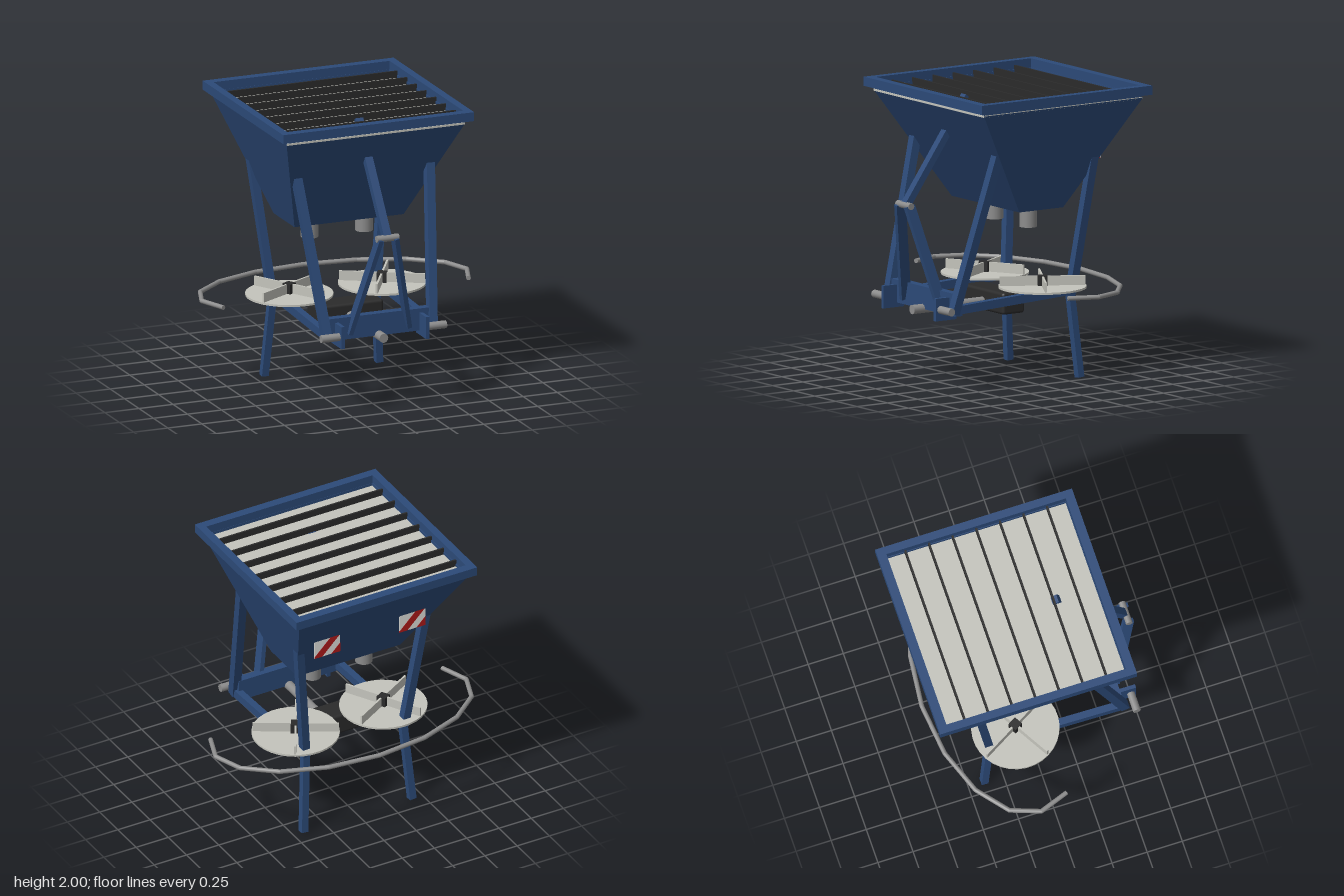
import * as THREE from 'three';
import { RoundedBoxGeometry } from 'three/addons/geometries/RoundedBoxGeometry.js';

const mat = (name, color) => {
  const m = new THREE.MeshStandardMaterial({ color });
  m.name = name;
  return m;
};

export function createModel() {
  const blue = mat('blue paint', 0x2c4a78);
  const light = mat('light metal', 0xc4c4bc);
  const steel = mat('grey steel', 0x8c8c8c);
  const dark = mat('dark metal', 0x2b2b2b);
  const white = mat('white', 0xe4e4e0);
  const red = mat('red', 0xb01a1a);
  const model = new THREE.Group();

  const add = (name, geometry, material, x = 0, y = 0, z = 0, parent = model) => {
    const mesh = new THREE.Mesh(geometry, material);
    mesh.name = name;
    mesh.position.set(x, y, z);
    parent.add(mesh);
    return mesh;
  };
  const box = (name, material, w, h, d, x, y, z, parent) =>
    add(name, new THREE.BoxGeometry(w, h, d), material, x, y, z, parent);

  // Straight bar between two points; w runs sideways, d across it
  const bar = (name, material, a, b, w, d, round = false) => {
    const from = new THREE.Vector3(...a), to = new THREE.Vector3(...b);
    const length = from.distanceTo(to), dir = to.clone().sub(from);
    const geometry = round
      ? new THREE.CylinderGeometry(w, w, length, 16).rotateX(Math.PI / 2)
      : new THREE.BoxGeometry(w, d, length);
    const mid = from.clone().lerp(to, 0.5);
    const mesh = add(name, geometry, material, mid.x, mid.y, mid.z);
    if (Math.abs(dir.y) > length * 0.6) mesh.up.set(0, 0, 1);
    mesh.lookAt(to);
    return mesh;
  };

  // Hopper: a box whose lower corners are pulled in
  const hopperGeo = new THREE.BoxGeometry(1, 1, 1);
  const p = hopperGeo.attributes.position;
  for (let i = 0; i < p.count; i++) {
    const top = p.getY(i) > 0, right = p.getX(i) > 0, front = p.getZ(i) > 0;
    const x = top ? 0.655 : 0.4;
    const z = top ? (front ? 0.562 : -0.745) : (front ? 0.095 : -0.265);
    p.setXYZ(i, right ? x : -x, top ? 1.915 : 1.175, z);
  }
  const hopper = hopperGeo.toNonIndexed();
  hopper.computeVertexNormals();
  add('hopper', hopper, blue);

  // Rim frame and the collar beneath it
  const rect = (C, x, z) => {
    const s = new C();
    s.moveTo(-x, -z); s.lineTo(x, -z); s.lineTo(x, z); s.lineTo(-x, z); s.closePath();
    return s;
  };
  const ring = (name, ox, oz, ix, iz, y, h) => {
    const shape = rect(THREE.Shape, ox, oz);
    shape.holes.push(rect(THREE.Path, ix, iz));
    const g = new THREE.ExtrudeGeometry(shape, { depth: h, bevelEnabled: false }).rotateX(-Math.PI / 2);
    add(name, g, blue, 0, y, -0.09);
  };
  ring('rim', 0.7, 0.7, 0.645, 0.638, 1.937, 0.063);
  ring('collar', 0.65, 0.648, 0.64, 0.636, 1.915, 0.025);

  // Grate: light plate with upright dark slats
  box('gratePlate', light, 1.304, 0.014, 1.305, 0, 1.913, -0.09);
  for (let k = -3; k <= 3; k++)
    box('grateSlat', dark, 1.29, 0.05, 0.013, 0, 1.943, -0.09 + k * 0.168);

  // Upper link with hitch pin
  bar('upperLink', blue, [0, 1.23, 0.755], [0, 1.935, 0.255], 0.056, 0.05);
  bar('upperPin', steel, [-0.08, 1.235, 0.76], [0.08, 1.235, 0.76], 0.024, 0, true);

  // Lower cross beam and drive shaft
  box('crossBeam', blue, 0.78, 0.155, 0.06, 0, 0.587, 0.585);
  bar('driveShaft', steel, [0, 0.512, 0.08], [0, 0.512, 0.7], 0.032, 0, true);
  add('gearbox', new RoundedBoxGeometry(0.49, 0.15, 0.18, 2, 0.02), dark, 0, 0.525, 0.03);

  for (const s of [-1, 1]) {
    // Frame
    bar('frontLeg', blue, [s * 0.385, 0.53, 0.625], [s * 0.488, 1.62, 0.33], 0.06, 0.06);
    bar('rearPost', blue, [s * 0.382, 0.58, -0.34], [s * 0.492, 1.53, -0.448], 0.055, 0.058);
    bar('rearFoot', blue, [s * 0.42, 0.003, -0.386], [s * 0.378, 0.6, -0.335], 0.05, 0.048);
    bar('sideRail', blue, [s * 0.385, 0.553, 0.63], [s * 0.382, 0.6, -0.36], 0.05, 0.058);
    bar('mastBar', blue, [s * 0.215, 0.55, 0.605], [s * 0.055, 1.235, 0.76], 0.032, 0.075);
    // Lower hitch
    box('hitchLug', blue, 0.026, 0.155, 0.17, s * 0.31, 0.557, 0.643);
    bar('hitchPin', steel, [s * 0.322, 0.556, 0.69], [s * 0.458, 0.556, 0.69], 0.027, 0, true);
    // Outlet pipe
    add('outlet', new THREE.CylinderGeometry(0.06, 0.06, 0.17, 20), steel, s * 0.2, 1.115, -0.117);

    // Spreading disc with four vanes
    const disc = new THREE.Group();
    disc.name = 'spreadingDisc';
    disc.position.set(s * 0.34, 0, -0.137);
    disc.rotation.y = -s * Math.PI / 6;
    model.add(disc);
    add('plate', new THREE.CylinderGeometry(0.299, 0.299, 0.014, 32), light, 0, 0.637, 0, disc);
    box('hub', dark, 0.065, 0.075, 0.065, 0, 0.675, 0, disc);
    add('shaft', new THREE.CylinderGeometry(0.035, 0.035, 0.03, 16), dark, 0, 0.618, 0, disc);
    for (let i = 0; i < 4; i++) {
      const vane = new THREE.Group();
      vane.name = 'vane';
      vane.rotation.y = i * Math.PI / 2;
      disc.add(vane);
      box('vanePlate', light, 0.26, 0.068, 0.014, 0.162, 0.676, 0, vane);
    }

    // Striped warning plate on the back
    const sign = new THREE.Group();
    sign.name = 'warningPlate';
    sign.position.set(s * 0.33, 1.57, -0.552);
    sign.rotation.y = Math.PI;
    model.add(sign);
    box('board', white, 0.2, 0.16, 0.006, 0, 0, 0, sign);
    const stripes = [
      [[-0.1, -0.08], [-0.04, -0.08], [0.1, 0.06], [0.1, 0.08], [0.05, 0.08], [-0.1, -0.07]],
      [[0.03, -0.08], [0.1, -0.08], [0.1, -0.01]],
    ];
    for (const pts of stripes) {
      const shape = new THREE.Shape(pts.map(([x, y]) => new THREE.Vector2(x, y)));
      add('stripe', new THREE.ExtrudeGeometry(shape, { depth: 0.009, bevelEnabled: false }), red, 0, 0, -0.0045, sign);
    }
  }

  // Guard rail: straight tubes along part of an ellipse
  const guard = [];
  for (let i = -1; i <= 9; i++) {
    const t = i * Math.PI / 8;
    guard.push([0.972 * Math.cos(t), 0.652, -0.16 - 0.53 * Math.sin(t)]);
  }
  for (let i = 0; i < guard.length - 1; i++) {
    bar('guardRail', steel, guard[i], guard[i + 1], 0.016, 0, true);
    if (i) add('guardJoint', new THREE.SphereGeometry(0.016, 12, 8), steel, ...guard[i]);
  }

  return model;
}
